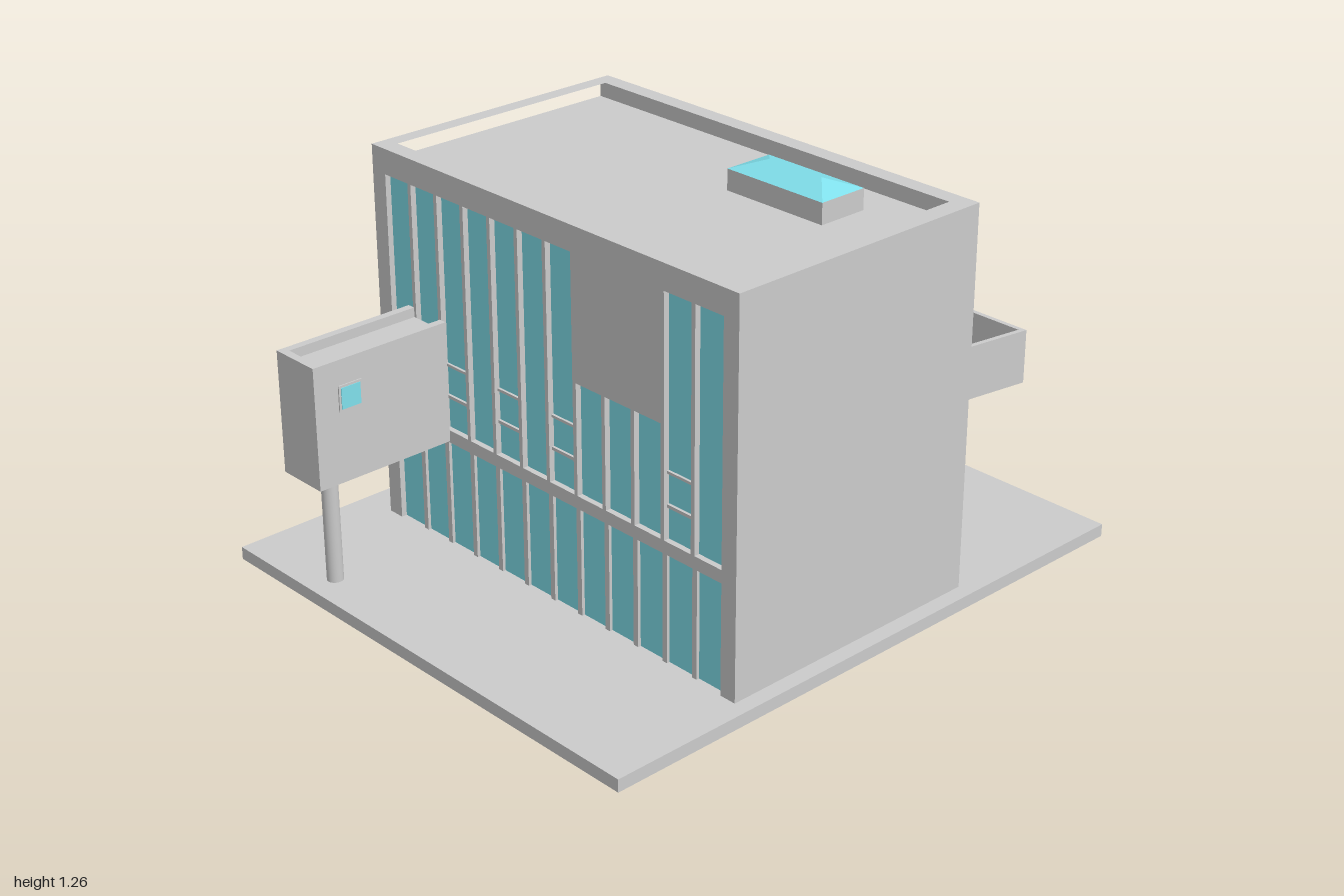
import * as THREE from 'three';

const grey = new THREE.MeshStandardMaterial({ color: 0xcccccc, flatShading: true });
const glass = new THREE.MeshStandardMaterial({ color: 0x80dfeb, flatShading: true });

function add(parent, name, geometry, material = grey) {
  const mesh = new THREE.Mesh(geometry, material);
  mesh.name = name;
  parent.add(mesh);
  return mesh;
}

// Box given by its extents on each axis
function box(parent, name, [x0, x1], [y0, y1], [z0, z1], material = grey) {
  const mesh = add(parent, name, new THREE.BoxGeometry(x1 - x0, y1 - y0, z1 - z0), material);
  mesh.position.set((x0 + x1) / 2, (y0 + y1) / 2, (z0 + z1) / 2);
  return mesh;
}

// Thin round bar between two points
function bar(parent, name, a, b, r = 0.003) {
  const p = new THREE.Vector3(...a), q = new THREE.Vector3(...b);
  const mesh = add(parent, name, new THREE.CylinderGeometry(r, r, p.distanceTo(q), 6));
  mesh.position.copy(p).add(q).multiplyScalar(0.5);
  mesh.quaternion.setFromUnitVectors(new THREE.Vector3(0, 1, 0), q.sub(p).normalize());
}

function column(parent, name, x, z) {
  const geo = new THREE.CylinderGeometry(0.025, 0.025, 0.36, 20);
  const mesh = add(parent, name, geo, new THREE.MeshStandardMaterial({ color: 0xcccccc }));
  mesh.position.set(x, 0.215, z);
}

const polygon = pts => new THREE.Shape(pts.map(p => new THREE.Vector2(...p)));
const rectPoints = (x0, x1, y0, y1) => [[x0, y0], [x1, y0], [x1, y1], [x0, y1]];
const extrude = (shape, depth) => new THREE.ExtrudeGeometry(shape, { depth, bevelEnabled: false });

// Lay an (x, z) outline flat between two heights
function plan(parent, name, pts, y0, y1, hole) {
  const flip = list => list.map(([x, z]) => [x, -z]);
  const shape = polygon(flip(pts));
  if (hole) shape.holes.push(polygon(flip(hole)));
  const mesh = add(parent, name, extrude(shape, y1 - y0));
  mesh.rotation.x = -Math.PI / 2;
  mesh.position.y = y0;
}

// Folded-plate stair running down along local +x, width along +z
function stair(name, top, run, width, steps, railSides, posts) {
  const g = new THREE.Group();
  g.name = name;
  const bottom = 0.04, t = run / steps, r = (top - bottom) / steps, d = 0.012;
  const upper = [], lower = [];
  for (let i = 0; i < steps; i++) {
    const y = top - (i + 1) * r + (i === steps - 1 ? d : 0);
    upper.push([i * t, top - i * r], [i * t, y], [(i + 1) * t, y]);
    lower.push([i * t - d, top - i * r - d], [i * t - d, y - d], [(i + 1) * t, y - d]);
  }
  const clean = upper.filter((p, i) => i % 3 !== 0 || i === 0);
  const under = lower.filter((p, i) => i % 3 !== 2 || i === lower.length - 1).filter((p, i) => i % 2 === 1 || i === 0);
  // Underside follows the same folds, set back by the plate thickness
  const back = [];
  under.forEach(p => back.push(p));
  const fold = [[-d, top]];
  for (let i = 0; i < steps; i++) {
    const y = top - (i + 1) * r + (i === steps - 1 ? d : 0) - d;
    fold.push([i * t - d, y], [(i + 1) * t - (i === steps - 1 ? 0 : d), y]);
  }
  add(g, 'steps', extrude(polygon([...clean, ...fold.reverse()]), width));
  for (const z of railSides) {
    const y = u => top - (top - bottom) * u;
    bar(g, 'handrail', [0, top + 0.125, z], [run, bottom + 0.145, z]);
    for (let i = 0; i <= posts; i++) {
      const u = i / posts;
      bar(g, 'railPost', [u * run, y(u), z], [u * run, y(u) + 0.125 + 0.02 * u, z]);
    }
  }
  return g;
}

// Glazed long wall: local x runs along world -z, outer face at local z = 0.03
function glazedWall(squareWindow) {
  const g = new THREE.Group();
  g.name = 'glazedWall';
  const wall = polygon(rectPoints(-0.81, 0.69, 0, 1.23));
  const pitch = 0.1168, first = -0.755, w = 0.103, glassZ = [0, 0.012];
  const cut = (x0, x1, y0, y1) => {
    wall.holes.push(polygon(rectPoints(x0, x1, y0, y1)));
    box(g, 'windowPane', [x0, x1], [y0, y1], glassZ, glass);
  };
  cut(first, 0.634, 0.04, 0.385);
  for (let i = 0; i < 12; i++) {
    const x = first + i * pitch;
    cut(x, x + w, 0.425, i > 1 && i < 5 ? 0.77 : 1.152);
    if (i) box(g, 'mullion', [x - 0.016, x + 0.002], [0.04, 0.385], [0.01, 0.022]);
    // Opening lights in every other tall window
    if ([1, 5, 7, 9, 11].includes(i)) {
      box(g, 'transom', [x, x + w], [0.522, 0.532], [0.01, 0.02]);
      box(g, 'transom', [x, x + w], [0.624, 0.632], [0.01, 0.02]);
    }
  }
  if (squareWindow) cut(-0.32, -0.23, 0.83, 0.92);
  add(g, 'wall', extrude(wall, 0.03));
  return g;
}

export function createModel() {
  const model = new THREE.Group();
  const X0 = -0.535, X1 = 0.375, Z0 = -0.69, Z1 = 0.81;

  // Ground slab around the building
  plan(model, 'groundSlab', rectPoints(-1, 0.98, -0.81, 0.86), 0, 0.04, rectPoints(X0, X1, Z0, Z1));

  // Building core, roof parapet and the two glazed walls
  box(model, 'buildingCore', [X0 + 0.03, X1 - 0.03], [0, 1.17], [Z0, Z1]);
  plan(model, 'parapet', rectPoints(X0 + 0.03, X1 - 0.03, Z0, Z1), 1.17, 1.23,
    rectPoints(-0.48, 0.32, -0.64, 0.75));
  const right = glazedWall(true);
  right.rotation.y = Math.PI / 2;
  right.position.x = X1 - 0.03;
  model.add(right);
  const left = glazedWall(false);
  left.traverse(o => {
    // Mirror the wall about its own plane by reversing its length
    if (!o.isMesh) return;
    o.updateMatrix();
    o.geometry.applyMatrix4(o.matrix);
    o.position.set(0, 0, 0);
    o.geometry.scale(-1, 1, 1);
    const geo = o.geometry.index ? o.geometry.toNonIndexed() : o.geometry;
    const p = geo.attributes.position;
    const a = new THREE.Vector3(), b = new THREE.Vector3();
    for (let i = 0; i < p.count; i += 3) {
      a.fromBufferAttribute(p, i + 1);
      b.fromBufferAttribute(p, i + 2);
      p.setXYZ(i + 1, b.x, b.y, b.z);
      p.setXYZ(i + 2, a.x, a.y, a.z);
    }
    geo.computeVertexNormals();
    o.geometry = geo;
  });
  left.rotation.y = -Math.PI / 2;
  left.position.x = X0 + 0.03;
  model.add(left);

  // Skylight: curb with a hipped glass top
  box(model, 'skylightCurb', [0.055, 0.22], [1.17, 1.235], [0.165, 0.53]);
  const hip = new THREE.BoxGeometry(0.165, 0.03, 0.365);
  const hp = hip.attributes.position;
  for (let i = 0; i < hp.count; i++) {
    if (hp.getY(i) > 0) hp.setXYZ(i, 0, 0.015, Math.sign(hp.getZ(i)) * 0.1);
  }
  hip.computeVertexNormals();
  add(model, 'skylightGlass', hip, glass).position.set(0.1375, 1.25, 0.3475);

  // Tapering balcony, with a gap in the parapet for its stair
  const near = x => 0.27 - (x - 0.38) * 0.161, far = x => 0.41 + (x - 0.38) * 0.161, t = 0.016;
  plan(model, 'balconyFloor', [[X1, near(X1)], [1, near(1)], [1, far(1)], [X1, far(X1)]], 0.39, 0.42);
  plan(model, 'balconyParapet', [[0.385, far(0.385)], [1, far(1)], [1, near(1)], [0.83, near(0.83)],
    [0.83, near(0.83) + t], [1 - t, near(1 - t) + t], [1 - t, far(1 - t) - t], [0.385, far(0.385) - t]], 0.42, 0.565);
  plan(model, 'balconyParapet', [[0.385, near(0.385)], [0.735, near(0.735)],
    [0.735, near(0.735) + t], [0.385, near(0.385) + t]], 0.42, 0.565);
  plan(model, 'balconySkirt', [[0.385, near(0.385)], [1, near(1)], [1, far(1)], [0.385, far(0.385)]], 0.389, 0.4);
  column(model, 'balconyColumn', 0.79, 0.345);
  box(model, 'stairLanding', [0.735, 0.83], [0.4, 0.42], [0.165, 0.22]);
  const frontStair = stair('balconyStair', 0.42, 0.36, 0.095, 11, [0.004, 0.091], 4);
  frontStair.rotation.y = Math.PI / 2;
  frontStair.position.set(0.735, 0, 0.165);
  model.add(frontStair);

  // Projecting room on a column, with a sunken roof
  box(model, 'sideRoom', [-1, X0], [0.39, 0.74], [-0.55, -0.38]);
  plan(model, 'sideRoomParapet', [[X0, -0.55], [-1, -0.55], [-1, -0.38], [X0, -0.38],
    [X0, -0.405], [-0.975, -0.405], [-0.975, -0.525], [X0, -0.525]], 0.74, 0.77);
  plan(model, 'sideWindowFrame', rectPoints(-0.92, -0.84, -0.382, -0.376), 0.612, 0.692);
  box(model, 'sideWindow', [-0.913, -0.847], [0.619, 0.685], [-0.38, -0.374], glass);
  column(model, 'sideRoomColumn', -0.91, -0.465);

  // Rear stair, landing, railing, door and canopy
  const rearStair = stair('rearStair', 0.42, 0.54, 0.12, 11, [0.004], 5);
  rearStair.position.set(-0.165, 0, -0.81);
  model.add(rearStair);
  box(model, 'rearLanding', [X0, -0.165], [0.395, 0.42], [-0.81, Z0]);
  bar(model, 'landingRail', [X0 + 0.004, 0.545, -0.806], [-0.165, 0.545, -0.806]);
  bar(model, 'landingRail', [X0 + 0.004, 0.545, -0.806], [X0 + 0.004, 0.545, Z0]);
  for (let i = 0; i < 4; i++) {
    const x = X0 + 0.004 + i * 0.092;
    bar(model, 'landingPost', [x, 0.42, -0.806], [x, 0.545, -0.806]);
  }
  box(model, 'rearDoor', [-0.395, -0.3], [0.42, 0.66], [Z0 - 0.003, Z0]);
  box(model, 'canopy', [-0.405, -0.29], [0.695, 0.718], [-0.865, Z0]);
  return model;
}
